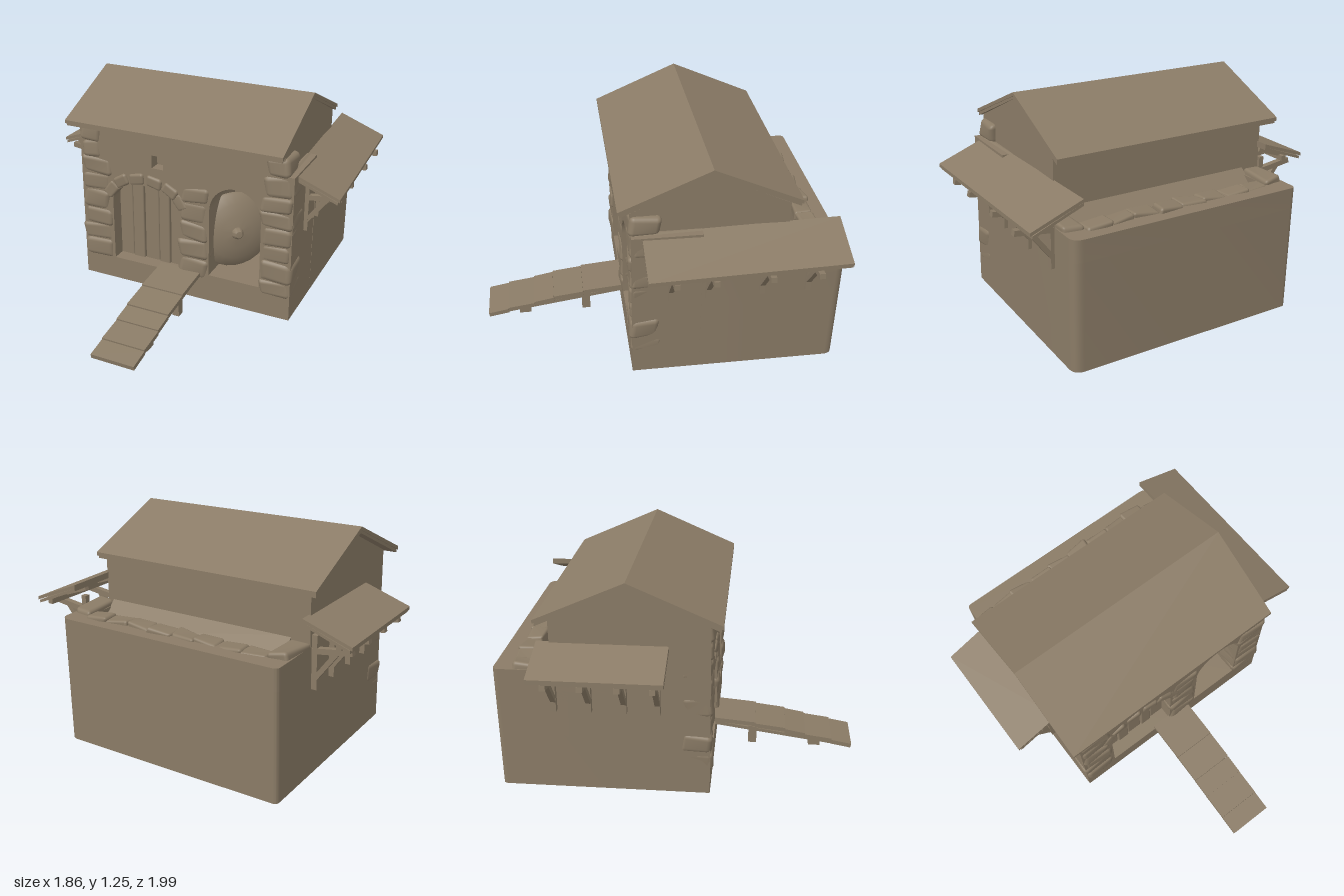
import * as THREE from 'three';
import { mergeVertices, toCreasedNormals } from 'three/addons/utils/BufferGeometryUtils.js';
import { RoundedBoxGeometry } from 'three/addons/geometries/RoundedBoxGeometry.js';

export function createModel() {
  const root = new THREE.Group();
  const clay = new THREE.MeshStandardMaterial({ color: 0x8a7b66 });
  clay.name = 'clay brown';

  let seed = 7;
  const rand = () => ((seed = (seed * 16807) % 2147483647) / 2147483647);
  const vary = (a) => (rand() - 0.5) * 2 * a;

  const add = (name, geo, parent = root) => {
    const mesh = new THREE.Mesh(geo, clay);
    mesh.name = name;
    parent.add(mesh);
    return mesh;
  };
  const group = (name) => {
    const g = new THREE.Group();
    g.name = name;
    root.add(g);
    return g;
  };
  const polygon = (pts) => new THREE.Shape(pts.map(([x, y]) => new THREE.Vector2(x, y)));
  const extrude = (shape, depth) =>
    new THREE.ExtrudeGeometry(shape, { depth, bevelEnabled: false, curveSegments: 12 });
  // Profile given as [z, y], swept along x
  const sweepX = (pts, x0, x1) =>
    extrude(polygon(pts.map(([z, y]) => [-z, y])), x1 - x0).rotateY(Math.PI / 2).translate(x0, 0, 0);
  // Rounded stone with a gentle hand-cut wobble
  const stone = (w, h, d, x, y, z, rough = 0.008) => {
    let g = new RoundedBoxGeometry(w, h, d, 3, Math.min(w, h, d) * 0.25);
    g.deleteAttribute('normal');
    g.deleteAttribute('uv');
    g = mergeVertices(g, 1e-4);
    const p = g.attributes.position, k = rand() * 9;
    for (let i = 0; i < p.count; i++) {
      const a = p.getX(i), b = p.getY(i), c = p.getZ(i);
      p.setXYZ(i, a + rough * Math.sin(30 * b + 17 * c + k),
        b + rough * Math.sin(24 * a + 13 * c + 2 * k), c + rough * Math.sin(22 * a + 26 * b + k));
    }
    g.computeVertexNormals();
    return g.translate(x, y, z);
  };
  // Straight timber between two points
  const beam = (name, a, b, w, h, parent) => {
    const p = new THREE.Vector3(...a), q = new THREE.Vector3(...b);
    const m = add(name, new THREE.BoxGeometry(w, h, p.distanceTo(q)), parent);
    m.position.copy(p).add(q).multiplyScalar(0.5);
    m.lookAt(q);
    return m;
  };

  // Lower block with rounded rear corners, and the open trough on top of it
  const plan = () => {
    const s = new THREE.Shape();
    s.moveTo(-0.67, 0.2).lineTo(0.69, 0.2).lineTo(0.69, 0.93);
    s.quadraticCurveTo(0.69, 0.99, 0.63, 0.99).lineTo(-0.64, 0.99);
    s.quadraticCurveTo(-0.67, 0.99, -0.67, 0.96).lineTo(-0.67, 0.2);
    return s;
  };
  const raise = (g, y) => toCreasedNormals(g.rotateX(-Math.PI / 2).translate(0, y, 0), 0.6);
  add('lowerBlock', raise(extrude(plan(), 0.6), 0));
  const rim = plan();
  rim.holes.push(polygon([[-0.55, 0.6], [-0.55, 0.82], [0.58, 0.82], [0.58, 0.6]]));
  add('troughWall', raise(extrude(rim, 0.12), 0.6));
  add('troughSlope', sweepX([[-0.66, 0.58], [-0.83, 0.58], [-0.83, 0.61], [-0.66, 0.76]], -0.56, 0.59));
  const rimStones = group('rimStones');
  for (let i = 0; i < 8; i++)
    add('rimStone', stone(0.145, 0.06, 0.1, -0.48 + i * 0.141, 0.705 + vary(0.008), -0.865 + vary(0.01)), rimStones);
  for (const x of [-0.61, 0.635])
    add('rimEnd', stone(0.11, 0.08, 0.22, x, 0.71, -0.78), rimStones);

  // Upper house with gables
  add('upperHouse', sweepX([[0.18, 0.9], [0.18, 1.02], [-0.25, 1.215], [-0.67, 1.02],
    [-0.67, 0.5], [-0.2, 0.5], [-0.2, 0.9]], -0.67, 0.625));

  // Front wall with the doorway, the second arch and a small vent
  const front = polygon([[-0.67, 0], [0.69, 0], [0.685, 0.9], [-0.67, 0.9]]);
  const arch = (x0, x1, y0, spring, top) => {
    const h = new THREE.Path(), m = (x0 + x1) / 2, r = (x1 - x0) / 2;
    h.moveTo(x0, y0).lineTo(x1, y0).lineTo(x1, spring);
    h.absellipse(m, spring, r, top - spring, 0, Math.PI, false);
    h.lineTo(x0, y0);
    return h;
  };
  front.holes.push(arch(-0.46, -0.02, 0.145, 0.55, 0.675), arch(0.18, 0.5, 0.175, 0.6, 0.765),
    polygon([[-0.19, 0.8], [-0.19, 0.88], [-0.115, 0.88], [-0.115, 0.8]]));
  add('frontWall', toCreasedNormals(extrude(front, 0.38).translate(0, 0, -0.2), 0.5));
  add('ventBack', new THREE.BoxGeometry(0.09, 0.1, 0.02).translate(-0.152, 0.84, 0.1));

  // Stone pillars and corner stones
  const pillars = group('pillars');
  for (const [x, w, top] of [[-0.572, 0.2, 1], [0.078, 0.19, 0.76], [0.59, 0.19, 1]]) {
    let y = 0.14;
    while (y < top - 0.05) {
      const h = Math.min(0.085 + rand() * 0.05, top - y);
      const high = y > 0.78, side = Math.sign(x) * (high ? 0.02 : 0);
      add('pillarStone', stone((high ? 0.13 : w) + vary(0.012), h + 0.01, 0.17,
        x + side - (high && x > 0 ? 0.02 : 0) + vary(0.006), y + h / 2, 0.105 + vary(0.004), 0.006), pillars);
      y += h;
    }
  }
  // Wedge stones over both arches
  const wedges = group('archStones');
  const archStones = (cx, cy, rx, ry, n) => {
    for (let i = 0; i < n; i++) {
      const t = Math.PI * (0.13 + 0.74 * i / (n - 1));
      const m = add('archStone', stone(0.105, 0.075, 0.12, 0, 0, 0, 0.005), wedges);
      m.position.set(cx + rx * Math.cos(t), cy + ry * Math.sin(t), 0.13);
      m.rotation.z = Math.atan2(Math.sin(t) * rx, Math.cos(t) * ry) - Math.PI / 2;
    }
  };
  archStones(-0.24, 0.55, 0.25, 0.16, 6);

  // Plank door
  const door = group('door');
  const edges = [-0.47, -0.37, -0.29, -0.19, -0.115, -0.01];
  for (let i = 0; i < 5; i++)
    add('doorPlank', new RoundedBoxGeometry(edges[i + 1] - edges[i] - 0.004, 0.56, 0.05, 2, 0.008)
      .translate((edges[i] + edges[i + 1]) / 2, 0.41, 0.07 + (i % 2) * 0.008), door);

  // Round domed shield leaning inside the second arch
  const dome = [[0, 0.1], [0.02, 0.098], [0.032, 0.08], [0.036, 0.062], [0.1, 0.052],
    [0.17, 0.03], [0.225, 0], [0.235, -0.012], [0.225, -0.022], [0, -0.022]];
  const shield = add('shield', toCreasedNormals(new THREE.LatheGeometry(
    dome.reverse().map(([r, y]) => new THREE.Vector2(r, y)), 28).rotateX(Math.PI / 2), 0.7));
  shield.position.set(0.262, 0.41, -0.01);
  shield.rotation.set(-0.12, 0.7, 0, 'YXZ');

  // Main roof: two stacked sheets
  const roof = group('roof');
  const chevron = (y, t, inset, x0, x1) => add('roofSheet', sweepX([[0.245 - inset, y], [-0.25, y + 0.215],
    [-0.735 + inset, y], [-0.735 + inset, y - t], [-0.25, y + 0.215 - t], [0.245 - inset, y - t]], x0, x1), roof);
  chevron(1.035, 0.02, 0, -0.73, 0.635);
  chevron(1.018, 0.018, 0.01, -0.725, 0.63);

  // Side awnings on timber brackets
  const awning = (name, s, inner, outer, z0, z1, brackets) => {
    const g = group(name);
    const [xi, yi] = inner, [xo, yo] = outer;
    const sheet = (drop, t, trim) => {
      const geo = extrude(polygon([[xi, yi - drop], [xi, yi - drop - t],
        [xo - trim, yo - drop - t], [xo - trim, yo - drop]]), z1 - z0).translate(0, 0, z0);
      // Outer edge drifts inward toward the back
      const p = geo.attributes.position;
      for (let i = 0; i < p.count; i++)
        if (s > 0) p.setX(i, p.getX(i) - 0.035 * (z1 - p.getZ(i)) / (z1 - z0));
      if (s < 0) {
        geo.rotateY(Math.PI);
        geo.translate(0, 0, z0 + z1);
      }
      geo.computeVertexNormals();
      add('awningSheet', geo, g);
    };
    sheet(0, 0.018, 0);
    sheet(0.018, 0.016, 0.012);
    const w = 0.68;
    beam('awningRail', [s * 0.84, 0.765, z0 + 0.04], [s * 0.84, 0.765, z1 - 0.04], 0.03, 0.03, g);
    for (const z of brackets) {
      beam('wallPost', [s * (w + 0.015), 0.5, z], [s * (w + 0.015), 0.79, z], 0.03, 0.03, g);
      beam('arm', [s * w, 0.705, z], [s * 0.9, 0.735, z], 0.032, 0.03, g);
      beam('strut', [s * (w + 0.01), 0.55, z], [s * 0.825, 0.73, z], 0.028, 0.026, g);
      beam('rafter', [s * w, 0.835, z], [s * 0.87, 0.77, z], 0.026, 0.024, g);
    }
  };
  awning('leftAwning', 1, [0.645, 0.905], [0.925, 0.795], -0.95, 0.12, [-0.03, -0.235, -0.53, -0.785]);
  awning('rightAwning', -1, [0.66, 0.89], [0.93, 0.795], -0.74, -0.04, [-0.1, -0.28, -0.47, -0.66]);

  // Plank stair on a sloping board with short legs
  const stair = group('stair');
  const treads = [0.17, 0.42, 0.6, 0.72, 0.88, 1.0];
  for (let i = 0; i < 5; i++) {
    const y = 0.168 - i * 0.03;
    beam('tread', [-0.0075, y, treads[i]], [-0.0075, y - 0.022, treads[i + 1]], 0.265, 0.026, stair);
  }
  beam('ramp', [-0.0075, 0.135, 0.17], [-0.0075, 0.022, 0.96], 0.22, 0.02, stair);
  for (const x of [-0.1, 0.085])
    for (const [z, h, d] of [[0.405, 0.11, 0.05], [0.78, 0.045, 0.07]])
      add('stairLeg', new THREE.BoxGeometry(0.04, h, d).translate(x, h / 2 + 0.01, z), stair);
  return root;
}
